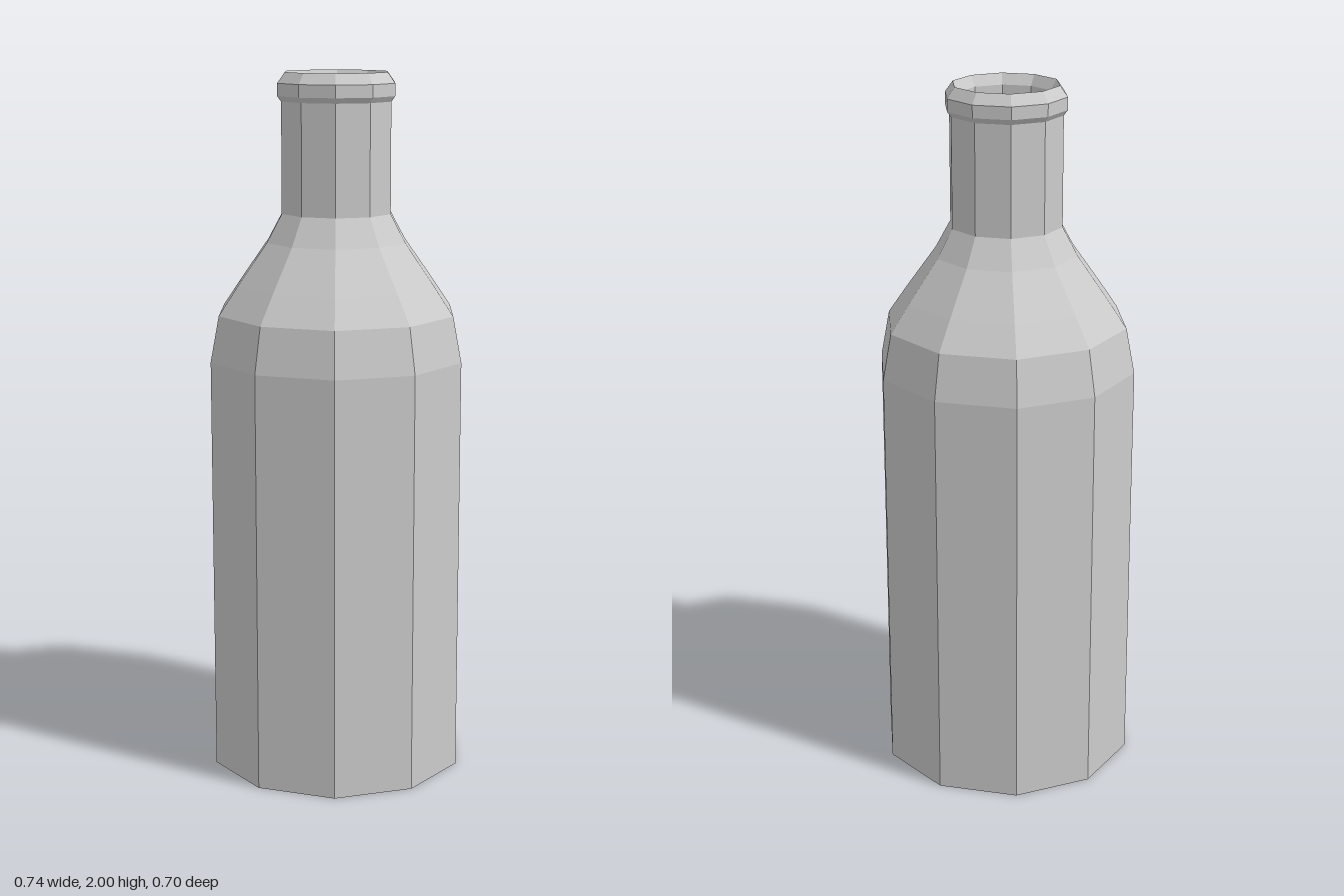
import * as THREE from 'three';

const SIDES = 10;
const material = new THREE.MeshStandardMaterial({ color: 0xcccccc, flatShading: true });

// Ten-sided faceted ring surface with a corner on the x axis
function turned(name, profile) {
  const points = profile.map(([r, y]) => new THREE.Vector2(r, y));
  const mesh = new THREE.Mesh(new THREE.LatheGeometry(points, SIDES, Math.PI / 2), material);
  mesh.name = name;
  return mesh;
}

export function createModel() {
  const bottle = new THREE.Group();
  bottle.name = 'bottle';

  // Flat base, straight body
  bottle.add(turned('body', [[0, 0], [0.37, 0], [0.37, 1.2]]));

  // Sloping shoulder up to the neck
  bottle.add(turned('shoulder', [[0.37, 1.2], [0.345, 1.33], [0.29, 1.41], [0.204, 1.53], [0.16, 1.61]]));

  bottle.add(turned('neck', [[0.16, 1.61], [0.16, 1.92]]));

  // Bevelled lip around the mouth
  bottle.add(turned('lip', [[0.16, 1.92], [0.171, 1.935], [0.171, 1.97], [0.149, 2]]));

  // Hollow inside, from the mouth down to the inner floor
  bottle.add(turned('inside', [
    [0.149, 2], [0.132, 1.97], [0.132, 1.61], [0.175, 1.52],
    [0.315, 1.32], [0.34, 1.2], [0.34, 0.03], [0, 0.03],
  ]));

  return bottle;
}
